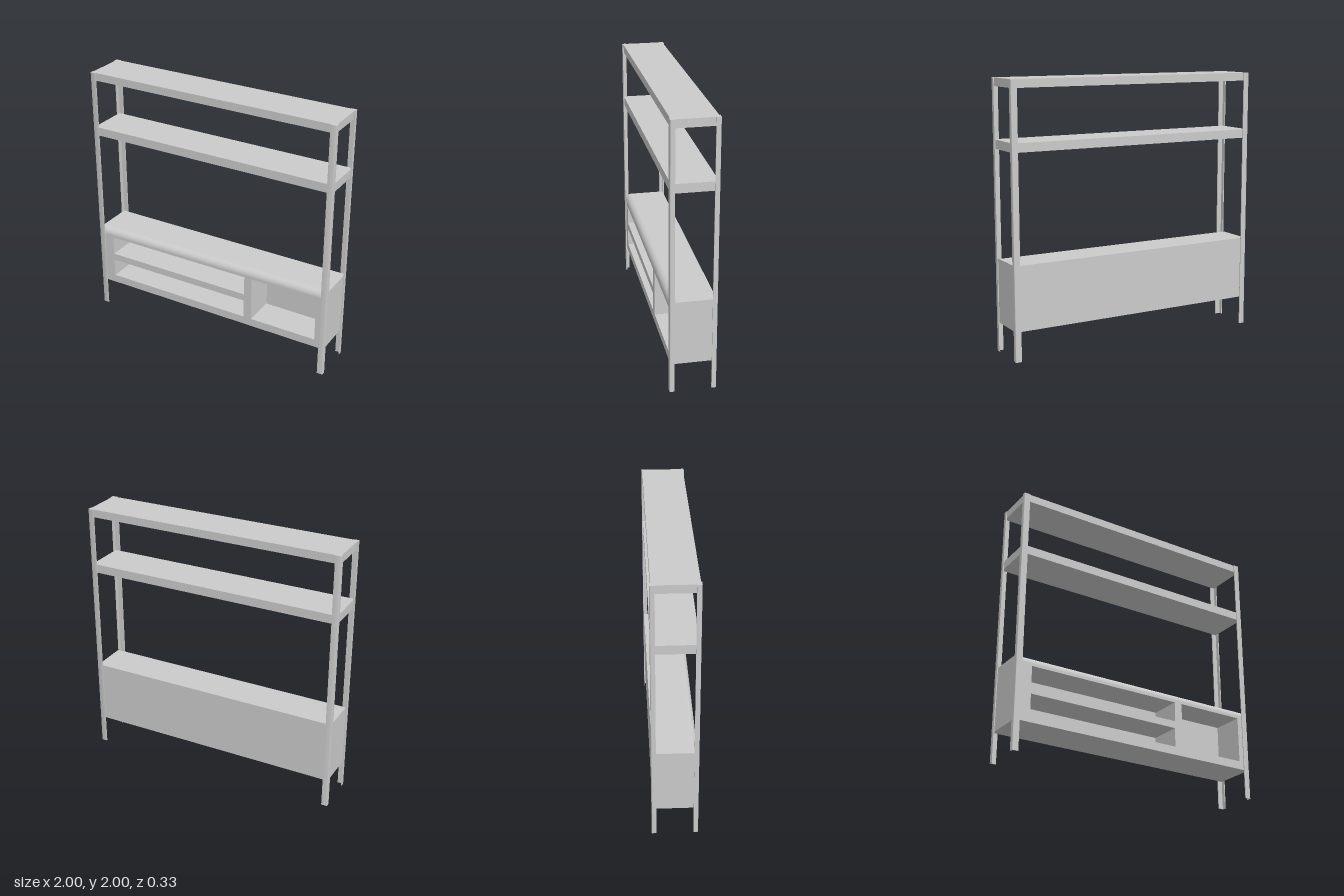
import * as THREE from 'three';
import { toCreasedNormals } from 'three/addons/utils/BufferGeometryUtils.js';

const HX = 0.993, HZ = 0.16; // half size of shelves and cabinet, inside the angle posts
const material = new THREE.MeshStandardMaterial({ color: 0xcccccc });

function add(parent, name, geometry, x = 0, y = 0, z = 0) {
  const mesh = new THREE.Mesh(geometry, material);
  mesh.name = name;
  mesh.position.set(x, y, z);
  parent.add(mesh);
  return mesh;
}

// Box given by its height range and depth range, spanning the full width
function slab(parent, name, y0, y1, z0 = -HZ, z1 = HZ) {
  return add(parent, name, new THREE.BoxGeometry(2 * HX, y1 - y0, z1 - z0), 0, (y0 + y1) / 2, (z0 + z1) / 2);
}

function rectPath(Kind, x0, y0, x1, y1) {
  const p = new Kind();
  p.moveTo(x0, y0);
  p.lineTo(x1, y0);
  p.lineTo(x1, y1);
  p.lineTo(x0, y1);
  p.closePath();
  return p;
}

// L-shaped angle post with a slightly rounded outer corner
function anglePost(sx, sz) {
  const X = 1, Z = 0.167, inX = 0.955, inZ = 0.133, r = 0.006;
  const s = new THREE.Shape();
  s.moveTo(sx * inX, sz * Z);
  s.lineTo(sx * (X - r), sz * Z);
  s.quadraticCurveTo(sx * X, sz * Z, sx * X, sz * (Z - r));
  s.lineTo(sx * X, sz * inZ);
  s.lineTo(sx * HX, sz * inZ);
  s.lineTo(sx * HX, sz * HZ);
  s.lineTo(sx * inX, sz * HZ);
  s.closePath();
  const g = new THREE.ExtrudeGeometry(s, { depth: 2, bevelEnabled: false, curveSegments: 4 });
  g.rotateX(-Math.PI / 2);
  return toCreasedNormals(g, 0.6);
}

export function createModel() {
  const model = new THREE.Group();
  model.name = 'shelvingUnit';

  // Four corner posts
  for (const [sx, side] of [[1, 'Left'], [-1, 'Right']]) {
    for (const [sz, end] of [[1, 'front'], [-1, 'back']]) {
      add(model, `${end}${side}Post`, anglePost(sx, sz));
    }
  }

  // Open shelves
  slab(model, 'topShelf', 1.94, 2);
  slab(model, 'middleShelf', 1.497, 1.563);

  // Cabinet with three open compartments
  const cabinet = new THREE.Group();
  cabinet.name = 'cabinet';
  model.add(cabinet);
  const bottom = 0.22, top = 0.7, round = 0.05, backZ = -0.09;

  const front = rectPath(THREE.Shape, -HX, bottom, HX, top - round);
  front.holes.push(
    rectPath(THREE.Path, -0.877, 0.482, 0.323, 0.632),
    rectPath(THREE.Path, -0.877, 0.283, 0.32, 0.427),
    rectPath(THREE.Path, 0.385, 0.283, 0.917, 0.632),
  );
  add(cabinet, 'cabinetBody',
    new THREE.ExtrudeGeometry(front, { depth: HZ - backZ, bevelEnabled: false }), 0, 0, backZ);
  slab(cabinet, 'cabinetBack', bottom, top - round, -HZ, backZ);

  // Cabinet top with a rounded front edge
  const cap = new THREE.Shape();
  cap.moveTo(-HZ, top - round);
  cap.lineTo(HZ, top - round);
  cap.absarc(HZ - round, top - round, round, 0, Math.PI / 2, false);
  cap.lineTo(-HZ, top);
  cap.closePath();
  const capGeometry = new THREE.ExtrudeGeometry(cap, { depth: 2 * HX, bevelEnabled: false, curveSegments: 10 });
  capGeometry.rotateY(-Math.PI / 2);
  add(cabinet, 'cabinetTop', toCreasedNormals(capGeometry, 0.6), HX);

  return model;
}
